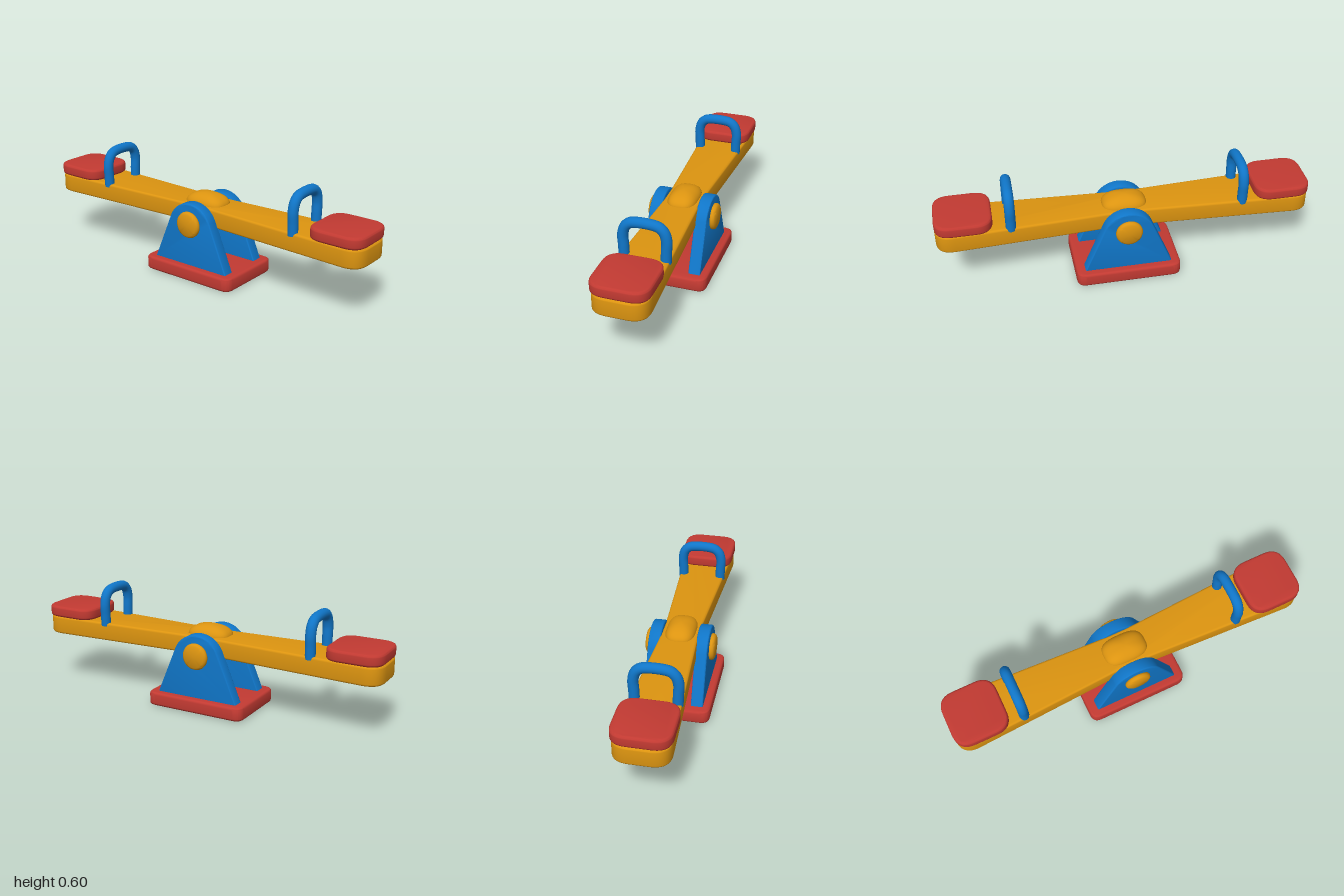
import * as THREE from 'three';
import { toCreasedNormals } from 'three/addons/utils/BufferGeometryUtils.js';

const material = (name, color) => {
  const m = new THREE.MeshStandardMaterial({ color });
  m.name = name;
  return m;
};

// Closed outline with softened corners; each point is [x, y, cornerRadius]
function softOutline(points) {
  const shape = new THREE.Shape();
  const n = points.length;
  points.forEach(([x, y, r], i) => {
    const toward = ([px, py]) => {
      const d = Math.hypot(px - x, py - y);
      return [x + (px - x) * r / d, y + (py - y) * r / d];
    };
    const a = toward(points[(i + n - 1) % n]);
    const b = toward(points[(i + 1) % n]);
    if (i === 0) shape.moveTo(...a);
    else shape.lineTo(...a);
    shape.quadraticCurveTo(x, y, ...b);
  });
  shape.closePath();
  return shape;
}

const rectangle = (hx, hy, r) =>
  softOutline([[-hx, -hy, r], [hx, -hy, r], [hx, hy, r], [-hx, hy, r]]);

// Extrusion with rounded edges that keeps the outline and total depth
function bevelled(shape, depth, bevel) {
  const g = new THREE.ExtrudeGeometry(shape, {
    depth: depth - 2 * bevel, bevelThickness: bevel, bevelSize: bevel,
    bevelOffset: -bevel, bevelSegments: 4, curveSegments: 12,
  });
  g.translate(0, 0, bevel);
  return toCreasedNormals(g, 0.7);
}

// Horizontal slab standing on y = 0
const slab = (shape, height, bevel) => bevelled(shape, height, bevel).rotateX(-Math.PI / 2);

export function createModel() {
  const red = material('red', 0xc23a32);
  const blue = material('blue', 0x1076c8);
  const orange = material('orange', 0xdc9410);
  const group = new THREE.Group();
  const add = (name, geometry, mat, x = 0, y = 0, z = 0) => {
    const mesh = new THREE.Mesh(geometry, mat);
    mesh.name = name;
    mesh.position.set(x, y, z);
    group.add(mesh);
    return mesh;
  };

  // Base plate
  add('base', slab(rectangle(0.285, 0.2, 0.05), 0.075, 0.014), red);

  // Plank, narrowing to the middle
  const plank = softOutline([
    [-1, -0.148, 0.1], [-0.08, -0.1, 0.05], [0.08, -0.1, 0.05], [1, -0.148, 0.1],
    [1, 0.148, 0.1], [0.08, 0.1, 0.05], [-0.08, 0.1, 0.05], [-1, 0.148, 0.1],
  ]);
  add('plank', slab(plank, 0.1, 0.012), orange, 0, 0.296);

  // Domed cap over the pivot: half a sphere pushed towards a rounded rectangle
  const dome = new THREE.SphereGeometry(1, 40, 16, 0, Math.PI * 2, 0, Math.PI / 2);
  const p = dome.attributes.position;
  for (let i = 0; i < p.count; i++) {
    const x = p.getX(i), z = p.getZ(i);
    const r = Math.hypot(x, z);
    const k = r < 1e-6 ? 1 : r / Math.cbrt(Math.abs(x) ** 3 + Math.abs(z) ** 3);
    p.setXYZ(i, x * k * 0.12, p.getY(i) * 0.06, z * k * 0.08);
  }
  dome.computeVertexNormals();
  add('pivotCap', dome, orange, 0, 0.39);

  // Upright: triangle with a round top
  const upright = new THREE.Shape();
  const angle = 0.42, r = 0.14, cy = 0.28;
  upright.moveTo(-0.238, 0.07);
  upright.lineTo(0.238, 0.07);
  upright.absarc(0, cy, r, angle, Math.PI - angle, false);
  upright.closePath();

  // Bolt head with a rounded rim
  const boltProfile = [
    [0, 0], [0.066, 0], [0.071, 0.006], [0.072, 0.014], [0.068, 0.024], [0.058, 0.03], [0, 0.032],
  ].map(([x, y]) => new THREE.Vector2(x, y));

  for (const side of [1, -1]) {
    const label = side > 0 ? 'front' : 'back';
    add(label + 'Support', bevelled(upright, 0.065, 0.008), blue, 0, 0, side * 0.1275 - 0.0325);
    const bolt = toCreasedNormals(new THREE.LatheGeometry(boltProfile, 32), 0.8);
    bolt.rotateX(side * Math.PI / 2);
    add(label + 'Bolt', bolt, orange, 0, 0.308, side * 0.156);
  }

  // Handle path, an arch across the plank
  const half = [[0.38, 0.107], [0.44, 0.109], [0.5, 0.111], [0.545, 0.098], [0.568, 0.074], [0.576, 0.042]];
  const path = new THREE.CatmullRomCurve3([
    ...half.map(([y, z]) => new THREE.Vector3(0, y, z)),
    ...half.slice().reverse().map(([y, z]) => new THREE.Vector3(0, y, -z)),
  ]);

  // Seat and handle at each end
  for (const [label, side, handleX] of [['left', 1, 0.61], ['right', -1, -0.625]]) {
    add(label + 'Seat', slab(rectangle(0.15, 0.15, 0.09), 0.062, 0.014), red, side * 0.85, 0.395);
    add(label + 'Handle', new THREE.TubeGeometry(path, 64, 0.027, 16), blue, handleX);
  }

  return group;
}
